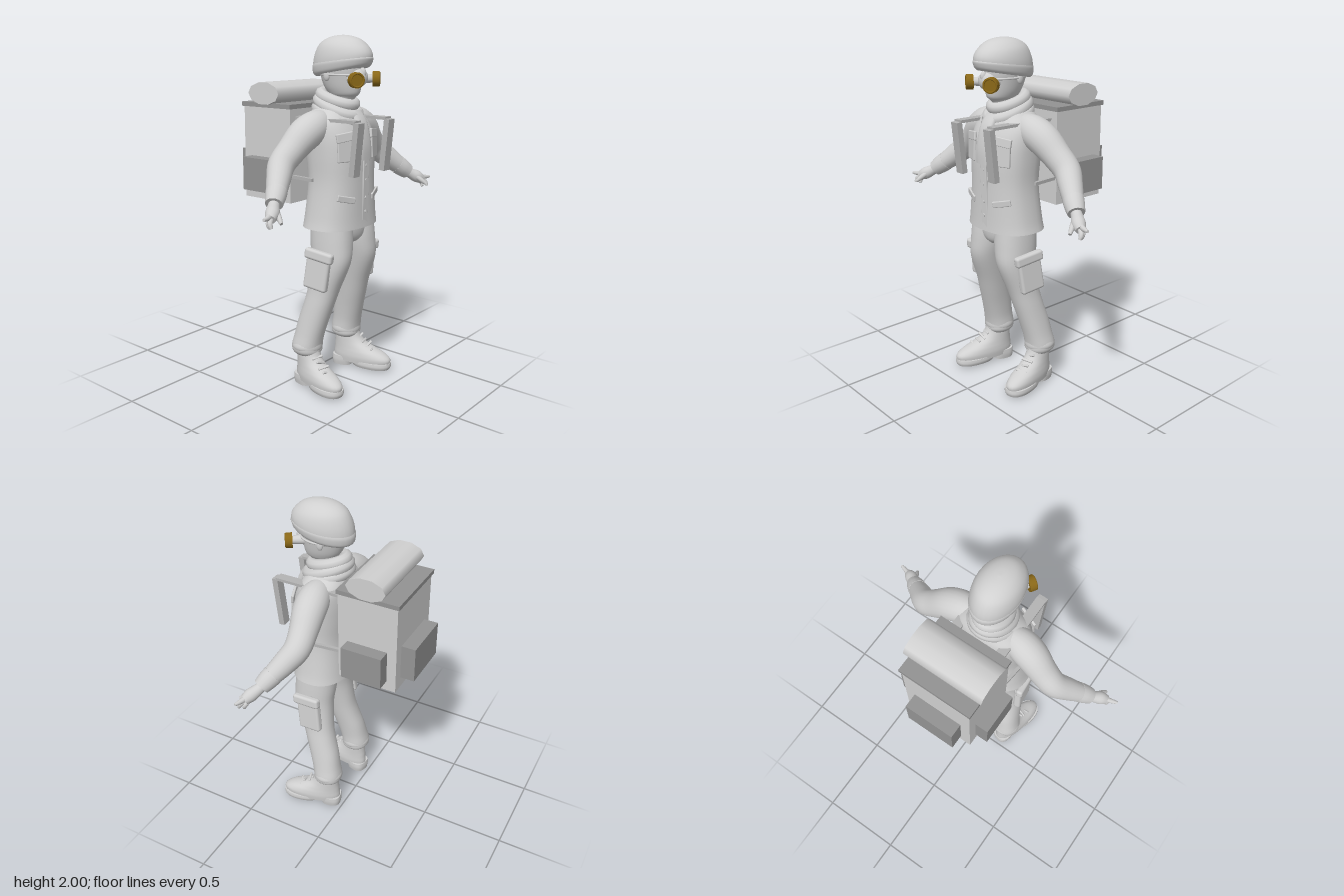
import * as THREE from 'three';
import { RoundedBoxGeometry } from 'three/addons/geometries/RoundedBoxGeometry.js';

const mat = (name, color) => Object.assign(new THREE.MeshStandardMaterial({ color }), { name });
const V = (x, y, z) => new THREE.Vector3(x, y, z);

// Catmull-Rom interpolation of rows of numbers
function refine(rows, k = 4) {
  const out = [], at = i => rows[Math.min(Math.max(i, 0), rows.length - 1)];
  for (let i = 0; i < rows.length - 1; i++)
    for (let s = 0; s < k; s++) {
      const t = s / k, a = at(i - 1), b = at(i), c = at(i + 1), d = at(i + 2);
      out.push(b.map((_, j) => b[j] + 0.5 * t * (c[j] - a[j] + t * (2 * a[j] - 5 * b[j] + 4 * c[j] - d[j] + t * (3 * (b[j] - c[j]) + d[j] - a[j])))));
    }
  out.push(at(rows.length - 1));
  return out;
}

// Skin a list of rings, with flat caps at both ends
function skin(rings) {
  const n = rings[0].length, m = rings.length, pos = [], idx = [];
  const put = p => pos.push(p.x, p.y, p.z) / 3 - 1;
  rings.forEach(r => r.forEach(put));
  for (let i = 0; i < m - 1; i++)
    for (let j = 0; j < n; j++) {
      const a = i * n + j, b = i * n + (j + 1) % n;
      idx.push(a, a + n, b, b, a + n, b + n);
    }
  [rings[0], rings[m - 1]].forEach((r, end) => {
    const c = put(r.reduce((s, p) => s.add(p), V(0, 0, 0)).divideScalar(n));
    const first = r.map(put)[0];
    for (let j = 0; j < n; j++) {
      const a = first + j, b = first + (j + 1) % n;
      end ? idx.push(c, b, a) : idx.push(c, a, b);
    }
  });
  const g = new THREE.BufferGeometry();
  g.setAttribute('position', new THREE.Float32BufferAttribute(pos, 3));
  g.setIndex(idx);
  g.computeVertexNormals();
  return g;
}

// Stack of horizontal rings from the bottom up: rows of [y, cx, cz, rx, rz], p = squareness
function stack(rows, p = 2, n = 28) {
  const pw = v => Math.sign(v) * Math.abs(v) ** (2 / p);
  return skin(refine(rows).map(([y, cx, cz, rx, rz]) => Array.from({ length: n }, (_, j) => {
    const a = j / n * Math.PI * 2;
    return V(cx + rx * pw(Math.cos(a)), y, cz + rz * pw(Math.sin(a)));
  })));
}

// Limb along a path: rows of [x, y, z, radius]
function limb(rows, n = 18, k = 4) {
  const pts = refine(rows, k);
  return skin(pts.map((q, i) => {
    const a = pts[Math.max(i - 1, 0)], b = pts[Math.min(i + 1, pts.length - 1)];
    const t = V(b[0] - a[0], b[1] - a[1], b[2] - a[2]).normalize();
    const u = t.clone().cross(V(0, 0, 1)).normalize(), v = u.clone().cross(t);
    return Array.from({ length: n }, (_, j) => {
      const w = j / n * Math.PI * 2;
      return V(q[0], q[1], q[2]).addScaledVector(u, q[3] * Math.cos(w)).addScaledVector(v, q[3] * Math.sin(w));
    });
  }));
}

export function createModel() {
  const cloth = mat('light grey', 0xd0d0d0);
  const pouch = mat('dark grey', 0x939393);
  const webbing = mat('strap grey', 0xb4b4b4);
  const brass = mat('brass', 0x8a6818);
  const root = new THREE.Group();
  const add = (name, geo, m = cloth, p = [0, 0, 0], r = [0, 0, 0]) => {
    const mesh = new THREE.Mesh(geo, m);
    mesh.name = name;
    mesh.position.set(...p);
    mesh.rotation.set(...r);
    root.add(mesh);
    return mesh;
  };
  const box = (name, size, p, r, m) => add(name, new THREE.BoxGeometry(...size), m, p, r);
  const soft = (name, size, p, r) => add(name, new RoundedBoxGeometry(...size, 2, Math.min(...size) * 0.35), cloth, p, r);
  const ball = (name, size, p) => add(name, new THREE.SphereGeometry(1, 20, 14).scale(...size), cloth, p);
  const loop = (name, y, cz, rx, rz, tilt, tube) => add(name, new THREE.TubeGeometry(new THREE.CatmullRomCurve3(
    Array.from({ length: 16 }, (_, i) => {
      const a = i / 16 * Math.PI * 2;
      return V(rx * Math.sin(a), y - tilt * Math.cos(a), cz + rz * Math.cos(a));
    }), true), 48, tube, 10, true));

  // Head, helmet and mask
  add('head', stack([[1.58, 0, 0.16, 0.06, 0.06], [1.66, 0, 0.2, 0.05, 0.075], [1.685, 0, 0.208, 0.065, 0.095],
    [1.72, 0, 0.2, 0.08, 0.112], [1.77, 0, 0.193, 0.092, 0.126], [1.82, 0, 0.19, 0.1, 0.135], [1.88, 0, 0.19, 0.1, 0.135]]));
  const tilt = g => { // rim lower at the back, crown level
    const a = g.attributes.position;
    for (let i = 0; i < a.count; i++) {
      const y = a.getY(i);
      a.setY(i, y + (a.getZ(i) - 0.2) * 0.18 * Math.min(1, Math.max(0, (1.95 - y) / 0.12)));
    }
    g.computeVertexNormals();
    return g;
  };
  add('helmet', tilt(stack([[1.81, 0, 0.195, 0.114, 0.164], [1.84, 0, 0.197, 0.126, 0.181], [1.89, 0, 0.199, 0.125, 0.178],
    [1.94, 0, 0.2, 0.109, 0.153], [1.975, 0, 0.2, 0.078, 0.112], [1.994, 0, 0.2, 0.04, 0.058], [2, 0, 0.2, 0.004, 0.005]])));
  add('helmetBand', tilt(stack([[1.805, 0, 0.195, 0.112, 0.162], [1.82, 0, 0.196, 0.123, 0.179],
    [1.85, 0, 0.197, 0.129, 0.186], [1.866, 0, 0.197, 0.126, 0.18]])));
  ball('mask', [0.06, 0.05, 0.045], [0, 1.775, 0.31]);
  ball('nose', [0.017, 0.03, 0.02], [0, 1.80, 0.335]);
  loop('maskStrap', 1.79, 0.195, 0.101, 0.132, 0, 0.006);

  // Scarf
  loop('scarfUpper', 1.655, 0.165, 0.075, 0.1, 0.03, 0.034);
  loop('scarfMiddle', 1.61, 0.17, 0.093, 0.115, 0.045, 0.036);
  loop('scarfLower', 1.575, 0.17, 0.106, 0.118, 0.04, 0.036);
  add('scarfTail', stack([[1.33, 0.008, 0.35, 0.058, 0.018], [1.42, 0.005, 0.345, 0.056, 0.022],
    [1.53, 0.005, 0.318, 0.05, 0.028], [1.6, 0.005, 0.275, 0.045, 0.028]], 2.6, 20));

  // Jacket
  add('jacket', stack([[0.95, 0, 0.19, 0.238, 0.17], [1.02, 0, 0.192, 0.224, 0.165], [1.2, 0, 0.197, 0.203, 0.157],
    [1.35, 0, 0.19, 0.207, 0.163], [1.46, 0, 0.178, 0.21, 0.158], [1.54, 0, 0.163, 0.2, 0.138],
    [1.59, 0, 0.155, 0.15, 0.115], [1.64, 0, 0.15, 0.085, 0.085]], 2.4, 36));
  soft('placket', [0.05, 0.385, 0.01], [0.012, 1.15, 0.355], [0.015, 0, 0]);
  for (const y of [1.04, 1.12, 1.22, 1.3])
    add('button', new THREE.CylinderGeometry(0.009, 0.009, 0.008, 10), cloth, [0.01, y, 0.361], [Math.PI / 2, 0, 0]);

  // Trouser seat
  add('trouserSeat', stack([[0.86, 0, 0.21, 0.05, 0.09], [0.885, 0, 0.208, 0.13, 0.112], [0.93, 0, 0.205, 0.185, 0.124], [1, 0, 0.2, 0.19, 0.13]]));

  for (const s of [1, -1]) {
    const side = s > 0 ? 'left' : 'right';
    // Gas filters
    add(side + 'Filter', new THREE.CylinderGeometry(0.042, 0.042, 0.036, 20).rotateX(Math.PI / 2), brass, [s * 0.09, 1.766, 0.359], [0, s * 0.58, 0]);
    add(side + 'FilterRim', new THREE.TorusGeometry(0.035, 0.005, 8, 24), brass, [s * 0.1, 1.766, 0.374], [0, s * 0.58, 0]);
    add(side + 'FilterStub', new THREE.CylinderGeometry(0.022, 0.028, 0.07, 14).rotateX(Math.PI / 2), cloth, [s * 0.062, 1.768, 0.318], [0, s * 0.58, 0]);
    ball(side + 'Ear', [0.012, 0.03, 0.02], [s * 0.098, 1.785, 0.165]);

    // Sleeve, cuff and hand
    const arm = (name, rows, n, k) => add(side + name, limb(rows.map(([x, ...r]) => [s * x, ...r]), n, k));
    arm('Sleeve', [[0.08, 1.545, 0.155, 0.05], [0.14, 1.53, 0.155, 0.076], [0.2, 1.508, 0.152, 0.09], [0.27, 1.47, 0.143, 0.09],
      [0.35, 1.4, 0.13, 0.079], [0.425, 1.335, 0.127, 0.073], [0.49, 1.275, 0.165, 0.065], [0.55, 1.222, 0.205, 0.055], [0.605, 1.175, 0.24, 0.044]], 22);
    arm('Cuff', [[0.55, 1.222, 0.205, 0.057], [0.58, 1.197, 0.224, 0.054], [0.612, 1.17, 0.243, 0.046]]);
    arm('Palm', [[0.59, 1.185, 0.23, 0.026], [0.63, 1.157, 0.255, 0.032], [0.665, 1.135, 0.28, 0.037], [0.698, 1.115, 0.298, 0.026]]);
    [[[0.68, 1.135, 0.285, 0.016], [0.72, 1.127, 0.3, 0.014], [0.76, 1.126, 0.312, 0.008]],
      [[0.685, 1.12, 0.29, 0.016], [0.715, 1.1, 0.31, 0.014], [0.717, 1.075, 0.322, 0.009]],
      [[0.68, 1.115, 0.28, 0.016], [0.705, 1.093, 0.29, 0.014], [0.702, 1.07, 0.298, 0.009]],
      [[0.635, 1.15, 0.275, 0.016], [0.655, 1.12, 0.315, 0.015], [0.67, 1.095, 0.345, 0.009]],
    ].forEach((f, i) => arm(['IndexFinger', 'MiddleFinger', 'RingFinger', 'Thumb'][i], f, 10, 3));

    // Jacket pockets
    soft(side + 'ChestPocket', [0.11, 0.14, 0.016], [s * 0.125, 1.4, 0.325], [-0.05, s * 0.38, 0]);
    soft(side + 'ChestFlap', [0.12, 0.05, 0.016], [s * 0.125, 1.465, 0.322], [-0.12, s * 0.38, s * -0.08]);
    soft(side + 'HipFlap', [0.115, 0.035, 0.014], [s * 0.13, 1.125, 0.331], [0.05, s * 0.38, s * 0.2]);

    // Trouser leg with gathered hem and cargo pocket
    const leg = (name, rows, p) => add(side + name, stack(rows.map(([y, cx, ...r]) => [y, s * cx, ...r]), p));
    leg('TrouserLeg', [[0.195, 0.186, 0.102, 0.07, 0.07], [0.215, 0.186, 0.1, 0.085, 0.085], [0.25, 0.186, 0.1, 0.087, 0.086],
      [0.31, 0.18, 0.112, 0.081, 0.086], [0.4, 0.168, 0.133, 0.079, 0.09], [0.5, 0.153, 0.162, 0.079, 0.091], [0.6, 0.138, 0.187, 0.08, 0.097],
      [0.75, 0.12, 0.218, 0.09, 0.12], [0.86, 0.106, 0.213, 0.1, 0.127], [0.96, 0.1, 0.205, 0.1, 0.127]], 2.2);
    leg('TrouserFold', [[0.21, 0.186, 0.102, 0.076, 0.076], [0.23, 0.186, 0.1, 0.088, 0.087], [0.25, 0.186, 0.1, 0.09, 0.088], [0.28, 0.184, 0.104, 0.08, 0.08]]);
    soft(side + 'CargoPocket', [0.045, 0.21, 0.15], [s * 0.216, 0.71, 0.2], [0.12, s * -0.1, s * 0.08]);
    soft(side + 'CargoFlap', [0.045, 0.06, 0.18], [s * 0.221, 0.805, 0.215], [0.12, s * -0.1, s * 0.08]);

    // Boot, turned outward
    const yaw = s * 0.21;
    const boot = (name, geo) => add(side + name, geo, cloth, [s * 0.165, 0, 0], [0, yaw, 0]);
    boot('Boot', stack([[0.035, 0, 0.21, 0.068, 0.18], [0.07, 0, 0.212, 0.072, 0.185], [0.1, 0, 0.195, 0.069, 0.165], [0.125, 0, 0.165, 0.064, 0.133],
      [0.155, 0, 0.135, 0.06, 0.1], [0.19, 0, 0.118, 0.058, 0.082], [0.23, 0, 0.11, 0.055, 0.075]], 2.2));
    boot('Sole', stack([[0.012, 0, 0.275, 0.068, 0.118], [0.03, 0, 0.275, 0.075, 0.125], [0.05, 0, 0.275, 0.074, 0.123]], 2.3));
    boot('Heel', stack([[0, 0, 0.085, 0.055, 0.06], [0.03, 0, 0.085, 0.06, 0.064], [0.06, 0, 0.09, 0.06, 0.066]], 2.8));
    for (let i = 0; i < 4; i++) {
      const lace = soft(side + 'Lace', [0.07, 0.012, 0.014], [0, 0, 0], [0.6, yaw, i % 2 ? 0.25 : -0.25]);
      lace.position.copy(V(0, 0.125 + i * 0.021, 0.282 - i * 0.029).applyAxisAngle(V(0, 1, 0), yaw)).x += s * 0.165;
    }

    // Pack straps and side pocket
    box(side + 'ShoulderStrap', [0.055, 0.016, 0.41], [s * 0.14, 1.552, 0.205], [0, 0, 0], webbing);
    box(side + 'FrontStrap', [0.055, 0.29, 0.034], [s * 0.14, 1.405, 0.404], [0.1, 0, 0], webbing);
    box(side + 'WaistStrap', [0.02, 0.018, 0.17], [s * 0.195, 1.222, 0.07], [0, s * 0.1, 0], webbing);
    box(side + 'PackPocket', [0.08, 0.19, 0.24], [s * 0.246, 1.222, -0.178], [0, 0, 0], pouch);
  }

  // Backpack and bedroll
  box('packBody', [0.42, 0.54, 0.35], [0, 1.34, -0.178], [0, 0, 0], cloth);
  box('packLid', [0.44, 0.025, 0.367], [0, 1.613, -0.18], [0, 0, 0], pouch);
  box('packBackPocket', [0.3, 0.205, 0.09], [0, 1.238, -0.39], [0, 0, 0], pouch);
  add('bedroll', new THREE.CylinderGeometry(1, 1, 0.475, 10).scale(0.064, 1, 0.115).rotateZ(Math.PI / 2), cloth, [0, 1.68, -0.178]);
  return root;
}
